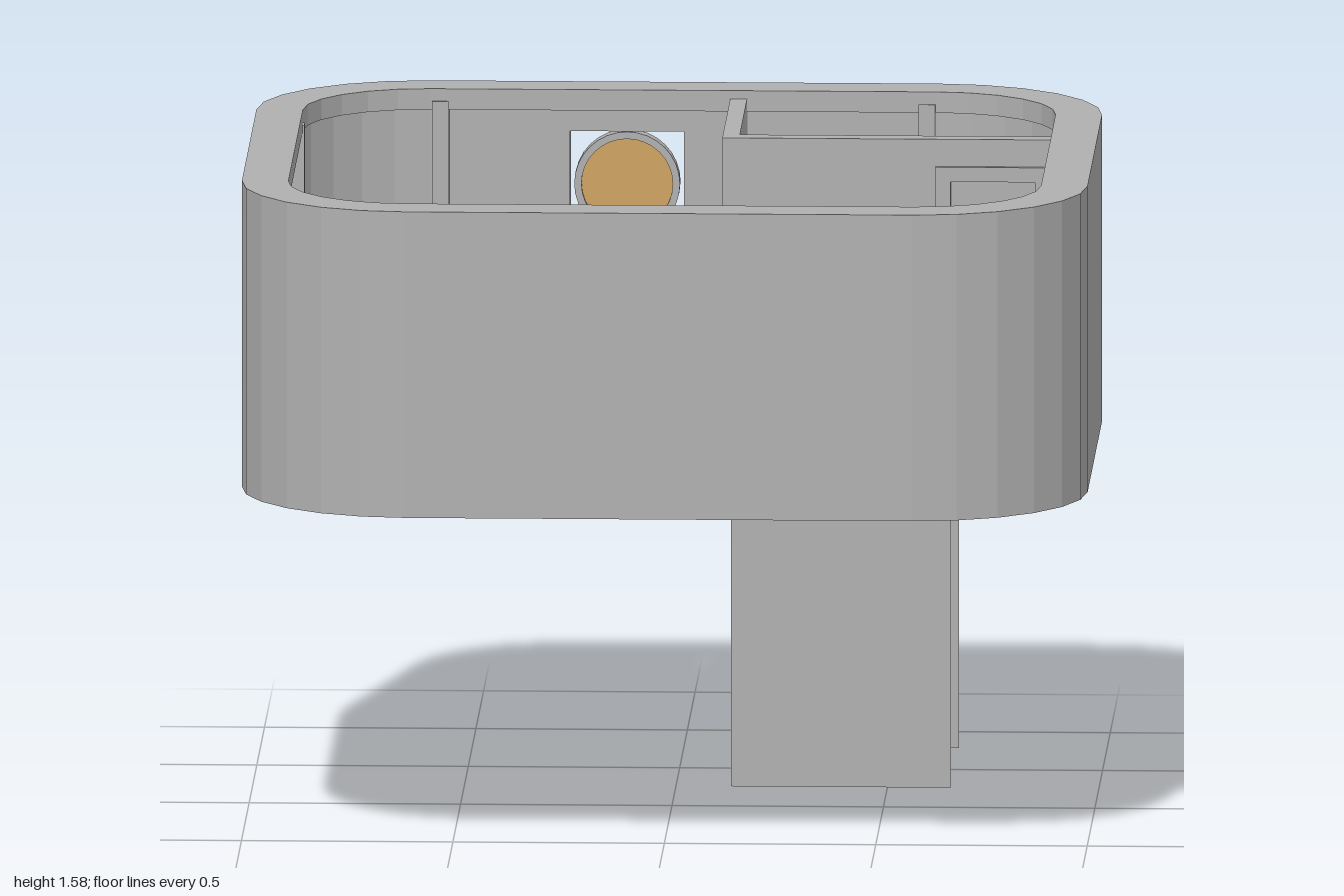
import * as THREE from 'three';

export function createModel() {
  const model = new THREE.Group();
  const grey = new THREE.MeshStandardMaterial({ color: 0xb0b0b0, flatShading: true });
  grey.name = 'concrete grey';
  const sheet = new THREE.MeshStandardMaterial({ color: 0xb0b0b0, flatShading: true, side: THREE.DoubleSide });
  sheet.name = 'concrete grey';
  const gold = new THREE.MeshStandardMaterial({ color: 0xcfa25f });
  gold.name = 'warm gold';

  const add = (name, geometry, material = grey) => {
    const mesh = new THREE.Mesh(geometry, material);
    mesh.name = name;
    model.add(mesh);
    return mesh;
  };
  // Box given by its limits on each axis
  const box = (name, x0, x1, y0, y1, z0, z1, material) => {
    const mesh = add(name, new THREE.BoxGeometry(x1 - x0, y1 - y0, z1 - z0), material);
    mesh.position.set((x0 + x1) / 2, (y0 + y1) / 2, (z0 + z1) / 2);
    return mesh;
  };

  // Plan outline with six-sided corners, inset from the outer face;
  // it starts and ends on the back edge (plan y is -z)
  const outline = (inset) => {
    const points = [], r = 0.4 - inset;
    const centres = [[-0.6, 0.47], [-0.6, -0.47], [0.6, -0.47], [0.6, 0.47]];
    centres.forEach(([cx, cy], c) => {
      for (let i = 0; i <= 6; i++) {
        const a = Math.PI / 2 * (1 + c + i / 6);
        points.push(new THREE.Vector2(cx + r * Math.cos(a), cy + r * Math.sin(a)));
      }
    });
    return points;
  };
  const extrudeUp = (shape, y0, y1) => {
    const g = new THREE.ExtrudeGeometry(shape, { depth: y1 - y0, bevelEnabled: false });
    return g.rotateX(-Math.PI / 2).translate(0, y0, 0);
  };
  const ring = (name, thickness, y0, y1, gap) => {
    let shape;
    if (gap) {
      const ends = (inset) => [
        new THREE.Vector2(gap[0], 0.87 - inset), ...outline(inset),
        new THREE.Vector2(gap[1], 0.87 - inset)];
      shape = new THREE.Shape([...ends(0), ...ends(thickness).reverse()]);
    } else {
      shape = new THREE.Shape(outline(0));
      shape.holes.push(new THREE.Path(outline(thickness)));
    }
    add(name, extrudeUp(shape, y0, y1));
  };

  // Outer wall, stacked in bands around the window opening
  ring('lowerLip', 0.008, 0.845, 0.9);
  ring('baseBand', 0.11, 0.9, 0.97);
  ring('lowerWall', 0.08, 0.97, 1.22);
  ring('windowWall', 0.08, 1.22, 1.475, [-0.27, 0]);
  ring('upperWall', 0.08, 1.475, 1.53);
  ring('topBand', 0.11, 1.53, 1.58);

  // Floor with the stairwell opening
  const floor = new THREE.Shape(outline(0.1));
  floor.holes.push(new THREE.Path([
    [0.15, 0.29], [0.15, 0.76], [0.59, 0.76], [0.59, 0.29],
  ].map(([x, y]) => new THREE.Vector2(x, y))));
  add('floor', extrudeUp(floor, 0.9, 0.92));

  // Posts where the straight walls meet the rounded corners
  for (const sx of [-1, 1]) for (const sz of [-1, 1]) {
    const side = box('sidePost', -0.02, 0.02, 0.92, 1.55, -0.02, 0.02);
    side.position.x = sx * 0.905;
    side.position.z = sz * 0.45;
    const end = box('endPost', -0.02, 0.02, 0.92, 1.55, -0.02, 0.02);
    end.position.x = sx * 0.575;
    end.position.z = sz * 0.775;
  }

  // Round window set in the back wall
  const disc = add('roundWindow', new THREE.CylinderGeometry(0.11, 0.11, 0.02, 32), gold);
  disc.rotation.x = Math.PI / 2;
  disc.position.set(-0.135, 1.348, -0.815);
  const rimShape = new THREE.Shape().absarc(0, 0, 0.125, 0, Math.PI * 2);
  rimShape.holes.push(new THREE.Path().absarc(0, 0, 0.108, 0, Math.PI * 2));
  const rim = add('windowRim', new THREE.ExtrudeGeometry(rimShape, { depth: 0.04, bevelEnabled: false, curveSegments: 16 }));
  rim.position.set(-0.135, 1.348, -0.835);

  // Partition walls around the stair room
  box('partitionSide', 0.11, 0.15, 0.9, 1.56, -0.78, -0.245);
  box('partitionFront', 0.15, 0.64, 0.9, 1.56, -0.29, -0.245);
  box('partitionLintel', 0.64, 0.86, 1.47, 1.56, -0.29, -0.245);
  box('partitionEnd', 0.86, 0.91, 0.9, 1.56, -0.29, -0.245);

  // Door and its frame
  box('door', 0.64, 0.86, 0.92, 1.47, -0.275, -0.26);
  box('doorFrameSide', 0.615, 0.65, 0.92, 1.46, -0.302, -0.233);
  box('doorFrameSide', 0.85, 0.885, 0.92, 1.46, -0.302, -0.233);
  box('doorFrameTop', 0.615, 0.885, 1.46, 1.495, -0.302, -0.233);

  // Stair shaft, open on one side and at the bottom
  box('shaftFront', 0.13, 0.65, 0, 0.9, -0.264, -0.26);
  box('shaftBack', 0.13, 0.65, 0, 0.9, -0.79, -0.786);
  box('shaftSide', 0.13, 0.134, 0, 0.9, -0.786, -0.264);

  // Folded stair sheet going down from the landing
  const tread = 0.44 / 7, rise = 0.0525;
  for (let i = 0; i < 7; i++) {
    const x = 0.59 - i * tread, y = 0.845 - i * rise;
    const top = add('stairTread', new THREE.PlaneGeometry(tread, 0.522).rotateX(-Math.PI / 2), sheet);
    top.position.set(x - tread / 2, y, -0.525);
    const riser = add('stairRiser', new THREE.PlaneGeometry(0.522, rise).rotateY(-Math.PI / 2), sheet);
    riser.position.set(x, y + rise / 2, -0.525);
  }

  return model;
}
